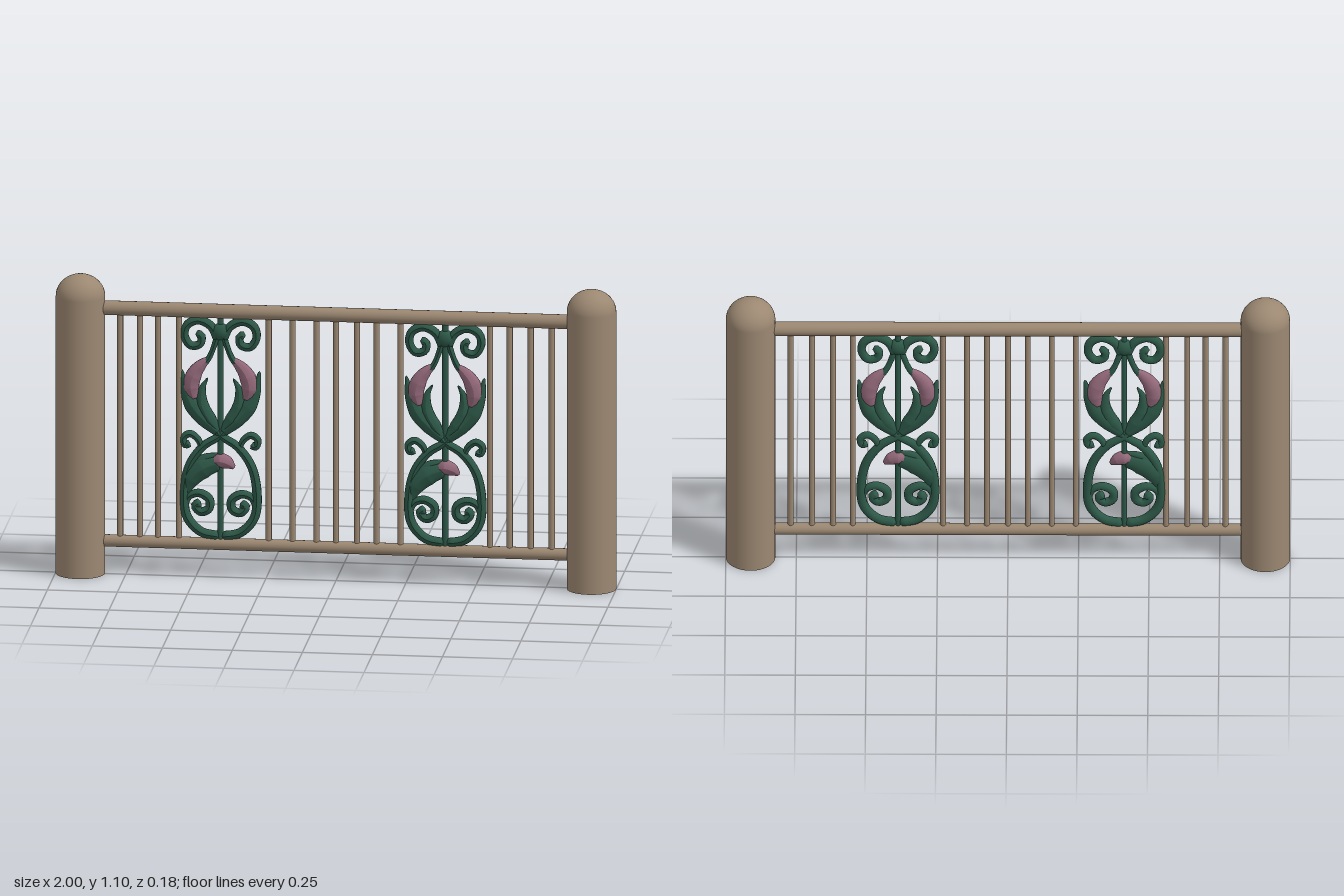
import * as THREE from 'three';

const paint = (name, color) => {
  const m = new THREE.MeshStandardMaterial({ color });
  m.name = name;
  return m;
};
const stone = paint('weathered tan', 0x9c8872);
const green = paint('leaf green', 0x2d5848);
const pink = paint('petal pink', 0x94697a);

function add(parent, name, geometry, material, x = 0, y = 0, z = 0) {
  const mesh = new THREE.Mesh(geometry, material);
  mesh.name = name;
  mesh.position.set(x, y, z);
  parent.add(mesh);
  return mesh;
}

// Swept stem whose radius follows a list of values; points and radii in hundredths of a unit
function stem(points, radii, depth = 1, segments = 40) {
  const curve = new THREE.CatmullRomCurve3(points.map(([x, y, z = 0]) => new THREE.Vector3(x / 100, y / 100, z / 100)));
  const sides = 10;
  const geo = new THREE.TubeGeometry(curve, segments, 1, sides);
  const pos = geo.attributes.position;
  const p = new THREE.Vector3();
  for (let i = 0; i <= segments; i++) {
    const centre = curve.getPointAt(i / segments);
    const f = (i / segments) * (radii.length - 1);
    const k = Math.min(Math.floor(f), radii.length - 2);
    const end = i === 0 || i === segments ? 0.02 : 1;
    const r = end * THREE.MathUtils.lerp(radii[k], radii[k + 1], f - k) / 100;
    for (let j = 0; j <= sides; j++) {
      const n = i * (sides + 1) + j;
      p.fromBufferAttribute(pos, n).sub(centre).multiplyScalar(r);
      p.z *= depth;
      p.add(centre);
      pos.setXYZ(n, p.x, p.y, p.z);
    }
  }
  geo.computeVertexNormals();
  return geo;
}

// Floral scrollwork panel, centred on its own stem
function createOrnament() {
  const g = new THREE.Group();
  add(g, 'centreStem', new THREE.CylinderGeometry(0.011, 0.011, 0.83, 10), green, 0, 0.55);
  add(g, 'topKnot', new THREE.SphereGeometry(0.032, 16, 10), green, 0, 0.9).scale.z = 0.75;

  for (const s of [-1, 1]) {
    const side = s < 0 ? 'right' : 'left';
    const part = (name, pts, radii, material = green, depth = 1) =>
      add(g, side + name, stem(pts.map(([x, y, z]) => [x * s, y, z]), radii, depth), material);

    part('TopScroll', [[1, 87], [3.5, 92], [8, 94], [12, 92], [12.8, 88], [10.5, 84.6], [7.2, 85.4], [7, 88.5], [9, 88.8]],
      [1.5, 1.6, 1.6, 1.5, 1.5, 1.5]);
    part('FlowerStem', [[0.8, 90], [2.2, 85], [4.3, 80], [7, 77]], [1.2, 1, 1.2]);
    // Drooping petal and the leaves cupping it
    part('Petal', [[4, 80], [6.5, 78], [9.2, 74.5], [10.5, 70], [9.5, 65]], [1, 2.2, 3, 3, 1.8], pink, 0.8);
    part('OuterLeaf', [[0.5, 53], [5, 57], [9.5, 62], [12.3, 68], [14, 76]], [1.8, 2.8, 3, 1.9, 0.4], green, 0.7);
    part('InnerLeaf', [[0.5, 53.5], [4, 58], [6.5, 63], [6.5, 69], [4.5, 73]], [1.4, 2.5, 2.4, 1.5, 0.3], green, 0.8);
    // Lower hoop, its side scroll and inner curl
    part('Hoop', [[-4, 57], [0, 52], [6, 48], [11, 41], [13, 31], [12, 22], [7, 16.5], [0, 15]],
      [1.2, 1.5, 1.6, 1.7, 1.7, 1.7]);
    part('SideScroll', [[6.5, 46.5], [8.2, 50.5], [11, 52.3], [13.3, 50.6], [12.6, 48.2], [10.8, 48.8]],
      [0.9, 1.2, 1.3, 1.3, 1.4]);
    part('InnerCurl', [[12.6, 26], [11, 29.5], [7.5, 30.6], [4, 28.4], [4.2, 25], [7, 23.8], [9, 26], [7, 27.4]],
      [1, 1.4, 1.6, 1.6, 1.6, 1.6]);
  }

  // Side bud: a broad leaf opening into a pink blossom
  add(g, 'budLeaf', stem([[-13, 30], [-10.5, 36], [-6, 40], [-0.5, 42]], [1.4, 3.4, 4, 2.8], 0.6), green);
  add(g, 'budLeafTip', stem([[-11, 36], [-7, 42.5], [-2, 44.5], [1, 45.5]], [0.8, 2, 1.6, 0.4], 0.7), green);
  add(g, 'blossom', stem([[-3, 42.2], [0, 42.8], [2.5, 42], [5, 40.2]], [1.4, 2.8, 2.3, 0.7], 0.9), pink);
  return g;
}

export function createModel() {
  const model = new THREE.Group();
  model.name = 'ornamentalFence';

  // Round-topped posts
  for (const s of [-1, 1]) {
    const post = new THREE.Group();
    post.name = s < 0 ? 'rightPost' : 'leftPost';
    post.position.x = s * 0.912;
    add(post, 'shaft', new THREE.CylinderGeometry(0.088, 0.088, 1.015, 32), stone, 0, 0.5075);
    add(post, 'dome', new THREE.SphereGeometry(0.088, 32, 10, 0, Math.PI * 2, 0, Math.PI / 2), stone, 0, 1.015).scale.y = 0.91;
    model.add(post);
  }

  // Rails
  for (const [name, y, r] of [['topRail', 0.975, 0.026], ['bottomRail', 0.122, 0.022]]) {
    const rail = add(model, name, new THREE.CylinderGeometry(r, r, 1.7, 16), stone, 0, y);
    rail.rotation.z = Math.PI / 2;
  }

  // Balusters
  const bars = [-0.77, -0.7, -0.635, -0.56, -0.24, -0.155, -0.07, 0, 0.075, 0.145, 0.23, 0.55, 0.62, 0.695, 0.77];
  const barGeometry = new THREE.CylinderGeometry(0.011, 0.011, 0.85, 10);
  for (const x of bars) add(model, 'baluster', barGeometry, stone, x, 0.55);

  // Matching scrollwork panels
  for (const [name, x] of [['rightOrnament', -0.412], ['leftOrnament', 0.39]]) {
    const ornament = createOrnament();
    ornament.name = name;
    ornament.position.x = x;
    model.add(ornament);
  }
  return model;
}
